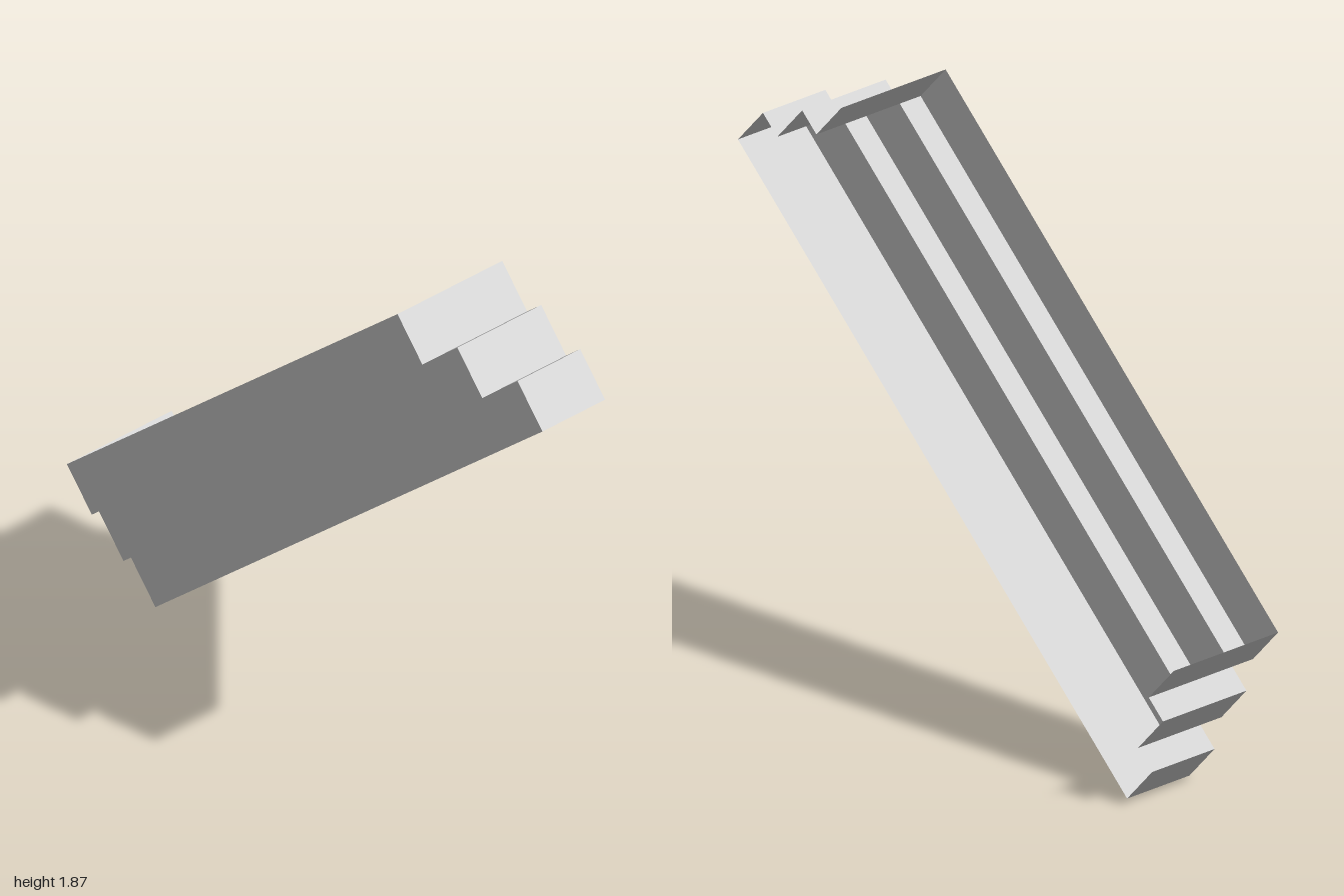
import * as THREE from 'three';

const material = new THREE.MeshStandardMaterial({ color: 0xcccccc, flatShading: true, side: THREE.DoubleSide });

// Thin panel facing along one axis: 'x', 'y' or 'z'
function panel(name, facing, width, height, x, y, z) {
  const geometry = new THREE.PlaneGeometry(width, height);
  if (facing === 'x') geometry.rotateY(Math.PI / 2);   // width runs along z
  if (facing === 'y') geometry.rotateX(-Math.PI / 2);  // height runs along z
  const mesh = new THREE.Mesh(geometry, material);
  mesh.name = name;
  mesh.position.set(x, y, z);
  return mesh;
}

export function createModel() {
  const model = new THREE.Group();
  model.name = 'steppedTrough';

  const back = -0.213;
  const rise = 0.172;
  // Steps from the lowest (longest, shallowest) to the highest (shortest, deepest)
  const steps = [
    { length: 2.4, front: 0.042 },
    { length: 2.225, front: 0.128 },
    { length: 2.05, front: 0.213 },
  ];

  const trough = new THREE.Group();
  trough.name = 'tiltedTrough';

  steps.forEach(({ length, front }, i) => {
    const base = (i - 1.5) * rise;
    const middle = base + rise / 2;
    const depth = front - back;
    trough.add(panel('frontPanel', 'z', length, rise, 0, middle, front));

    // Underside: the whole floor for the lowest step, an overhang for the others
    const inner = i === 0 ? back : steps[i - 1].front;
    trough.add(panel('underside', 'y', length, front - inner, 0, base, (front + inner) / 2));

    for (const side of [-1, 1]) {
      trough.add(panel('endPanel', 'x', depth, rise, side * length / 2, middle, (front + back) / 2));

      // Ledge left where the next step is shorter; the top and back stay open
      if (i < steps.length - 1) {
        const next = steps[i + 1].length;
        trough.add(panel('endLedge', 'y', (length - next) / 2, depth,
          side * (length + next) / 4, base + rise, (front + back) / 2));
      }
    }
  });

  // Lean the whole trough upwards towards its left
  trough.rotation.z = THREE.MathUtils.degToRad(41.9);
  trough.position.set(-0.065, 0.994, 0);
  model.add(trough);
  return model;
}
